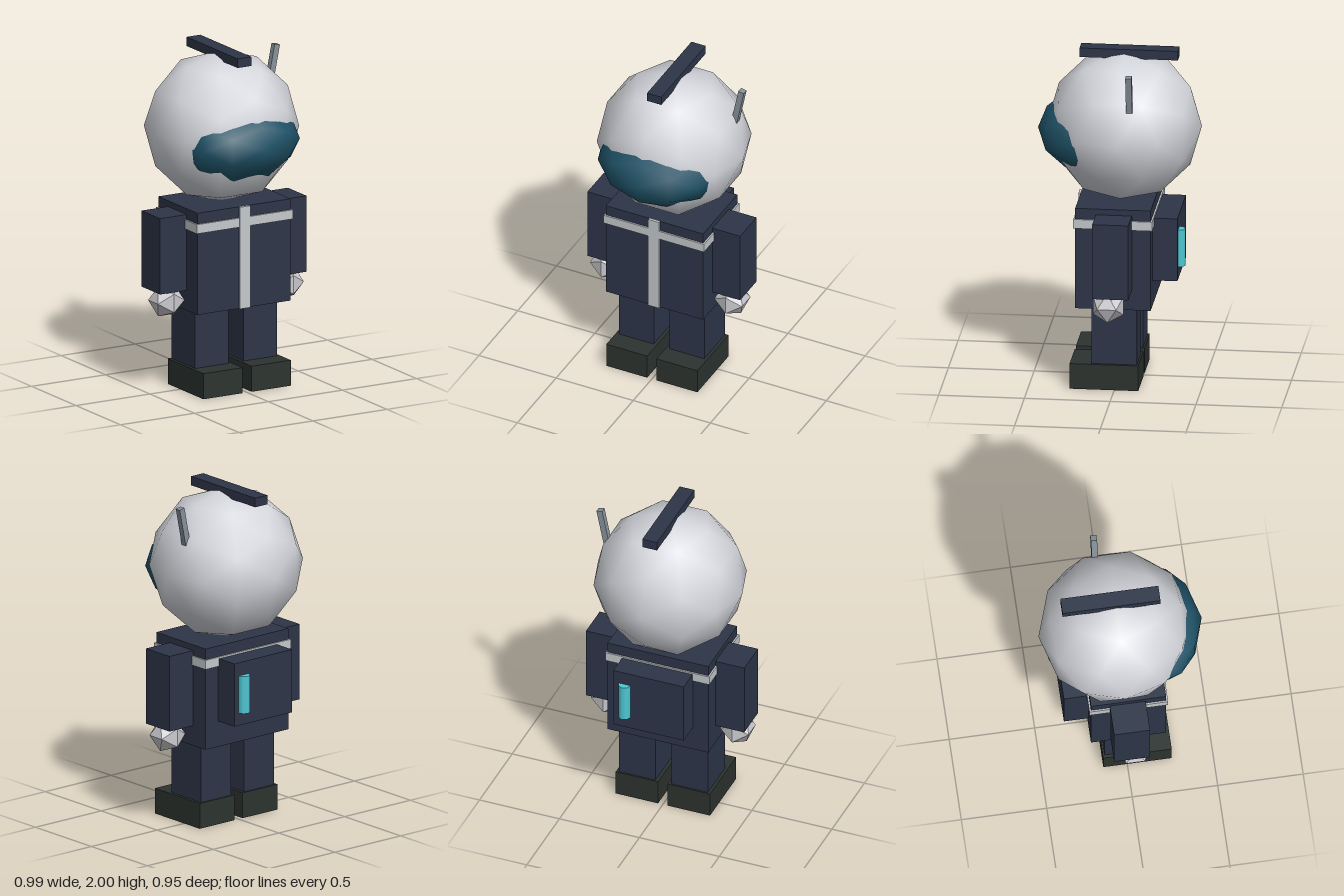
import * as THREE from 'three';

const mat = (name, color) => {
  const m = new THREE.MeshStandardMaterial({ color });
  m.name = name;
  return m;
};

export function createModel() {
  const group = new THREE.Group();

  const suit = mat('navy suit', 0x2d3548);
  const helmetGrey = mat('helmet grey', 0xd4d6dc);
  const gloveGrey = mat('glove grey', 0xcbcbd0);
  const strapGrey = mat('strap grey', 0xc4c9cc);
  const bootDark = mat('boot dark', 0x2c332f);
  const visorTeal = mat('visor teal', 0x1f5368);
  const cyan = mat('canister cyan', 0x4fc8d4);
  const metal = mat('antenna metal', 0x87929a);

  const add = (name, geometry, material, x, y, z) => {
    const mesh = new THREE.Mesh(geometry, material);
    mesh.name = name;
    mesh.position.set(x, y, z);
    group.add(mesh);
    return mesh;
  };
  // Box given by its extents on each axis
  const box = (name, material, [x0, x1], [y0, y1], [z0, z1]) =>
    add(name, new THREE.BoxGeometry(x1 - x0, y1 - y0, z1 - z0), material,
      (x0 + x1) / 2, (y0 + y1) / 2, (z0 + z1) / 2);

  // Torso with chest straps
  box('torso', suit, [-0.315, 0.315], [0.5, 1.11], [-0.215, 0.225]);
  box('chestBand', strapGrey, [-0.325, 0.325], [0.99, 1.045], [-0.225, 0.235]);
  box('frontStrap', strapGrey, [-0.035, 0.035], [0.5, 1.11], [0.22, 0.238]);

  // Limbs, mirrored
  for (const [side, s] of [['left', 1], ['right', -1]]) {
    const span = (a, b) => (s > 0 ? [a, b] : [-b, -a]);
    box(side + 'Arm', suit, span(0.315, 0.495), [0.62, 1.075], [-0.105, 0.105]);
    add(side + 'Hand', new THREE.IcosahedronGeometry(0.105), gloveGrey, s * 0.403, 0.555, 0.022);
    box(side + 'Leg', suit, span(0.05, 0.277), [0.15, 0.5], [-0.13, 0.135]);
    box(side + 'Boot', bootDark, span(0.03, 0.295), [0, 0.153], [-0.14, 0.26]);
  }

  // Backpack and its canister
  box('backpack', suit, [-0.22, 0.22], [0.655, 1.035], [-0.36, -0.21]);
  add('canister', new THREE.CylinderGeometry(0.038, 0.038, 0.225, 8), cyan, 0.15, 0.843, -0.362);

  // Helmet, visor, crest and antenna
  add('helmet', new THREE.IcosahedronGeometry(0.45, 1), helmetGrey, 0, 1.535, -0.028);
  add('visor', new THREE.IcosahedronGeometry(1, 1).scale(0.38, 0.247, 0.342), visorTeal, 0, 1.493, 0.135);
  box('crest', suit, [-0.046, 0.046], [1.945, 2], [-0.343, 0.23]);
  const antenna = add('antenna', new THREE.BoxGeometry(0.036, 0.23, 0.036), metal, 0.385, 1.84, -0.097);
  antenna.rotation.z = -0.2;

  return group;
}
